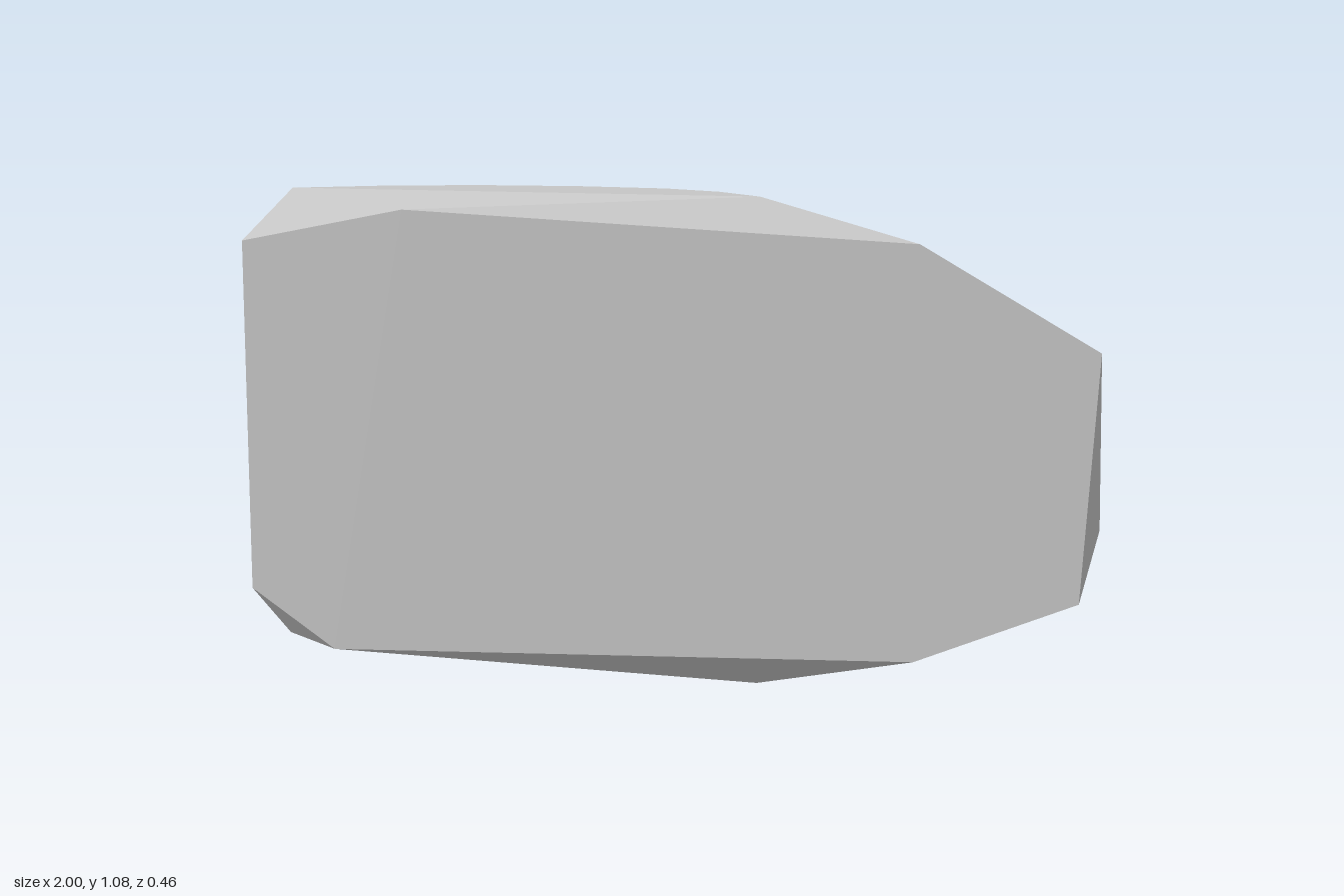
import * as THREE from 'three';
import { ConvexGeometry } from 'three/addons/geometries/ConvexGeometry.js';

const HEIGHT = 1.08;

// Back outline in plan (x, z), running from the blunt end towards the tip
const plan = (pairs) => new THREE.SplineCurve(pairs.map(([x, z]) => new THREE.Vector2(x, z)));
const capPairs = [[-0.92, 0.13], [-0.77, -0.05], [-0.57, -0.155], [-0.32, -0.185], [-0.08, -0.14], [0.09, -0.03]];
const capOutline = plan(capPairs);
const middleOutline = plan([[-0.97, 0.13], [-0.83, -0.04], [-0.66, -0.16], [-0.5, -0.22], [-0.32, -0.23], [-0.2, -0.215]]);

export function createModel() {
  const group = new THREE.Group();
  group.name = 'rock';
  const stone = new THREE.MeshStandardMaterial({ color: 0xc6c6c6 });
  stone.name = 'light grey stone';

  // Flat front face, top and bottom corners and the tapered tip
  const points = [
    [-1, 0.96, 0.23], [-1, 0.13, 0.23], [-0.58, 1.04, 0.23], [-0.78, 0, 0.23],
    [0.62, 0.99, 0.21], [0.62, 0.095, 0.21], [1, 0.775, 0.19], [0.97, 0.25, 0.205],
    [0.25, HEIGHT, 0.155], [0.25, 0, 0.16], [-0.94, 0.01, 0.16],
    [0.98, 0.59, 0.108], [1, 0.4, 0.155],
    [0.62, 0.69, -0.015], [0.6, 0.38, -0.035],
  ].map((p) => new THREE.Vector3(...p));

  // Flat top and bottom caps; the bottom is cut away at the blunt end
  for (const [x, z] of capPairs) {
    points.push(new THREE.Vector3(x, HEIGHT, z));
    if (x > -0.4) points.push(new THREE.Vector3(x, 0, z * 1.05));
  }

  // Bulging back, in staggered rows that give triangular facets
  [0.06, 0.2, 0.38, 0.57, 0.77, 0.95].forEach((y, row) => {
    const bulge = 1 - Math.abs(2 * y / HEIGHT - 1) ** 3;
    const count = row % 2 ? 6 : 5;
    for (let i = 0; i <= count; i++) {
      const t = i / count;
      const p = capOutline.getPoint(t).lerp(middleOutline.getPoint(t), bulge);
      points.push(new THREE.Vector3(p.x, y, p.y));
    }
  });

  const body = new THREE.Mesh(new ConvexGeometry(points), stone);
  body.name = 'rockBody';
  group.add(body);
  return group;
}
